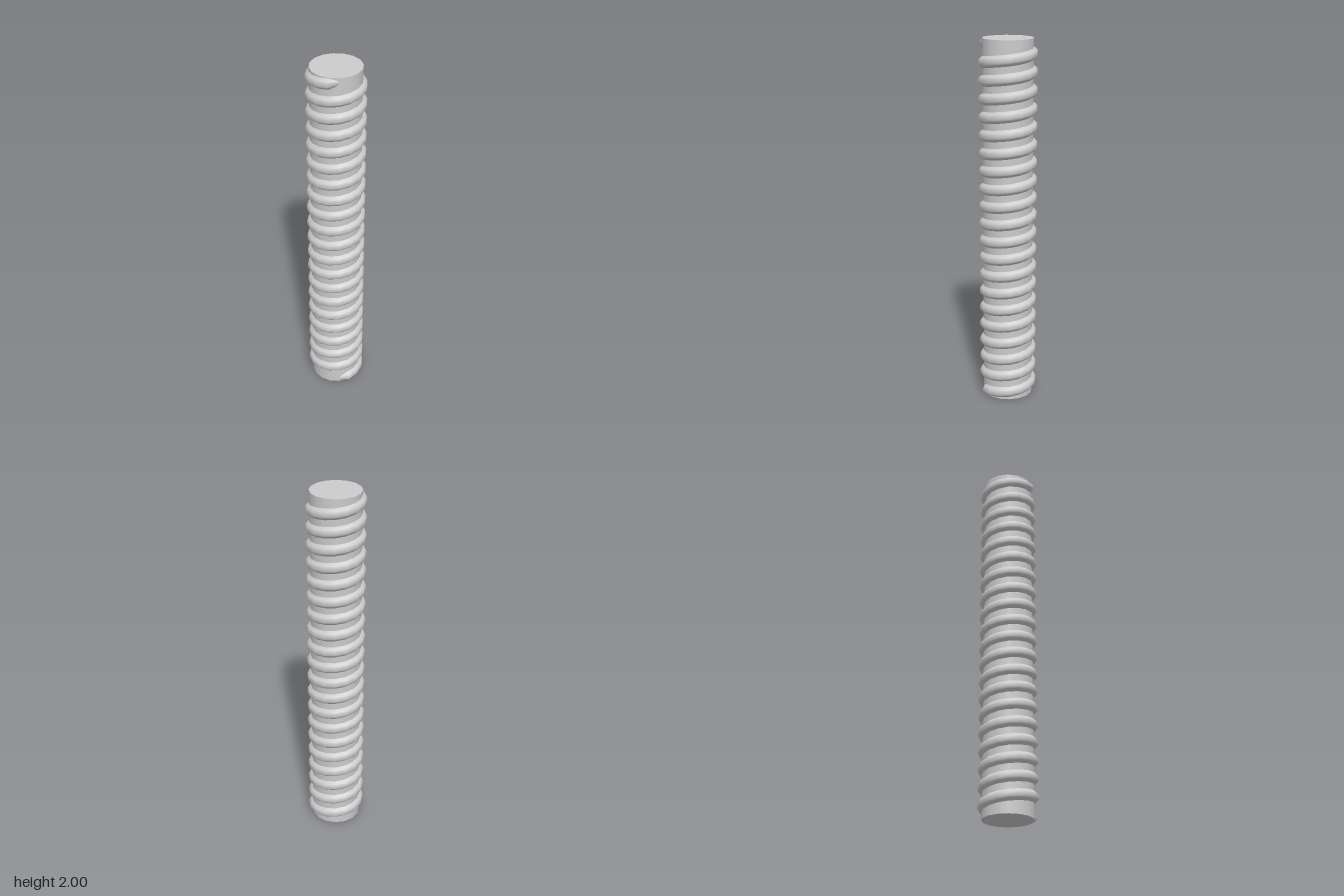
import * as THREE from 'three';

const SIDES = 16, CORE = 0.137, CREST = 0.158;
const TURNS = 20, PITCH = 0.0975, START = 0.022;

// Rounded ridge cross-section: [height fraction 0..1, offset along the rod]
const PROFILE = [[-0.15, -0.033], [0.1, -0.029], [0.7, -0.019], [1, -0.009],
  [1, 0.009], [0.7, 0.019], [0.1, 0.029], [-0.15, 0.033]];

// Sweep the ridge up a right-handed helix, sinking into the core at both ends
function threadGeometry() {
  const steps = TURNS * SIDES, n = PROFILE.length;
  const positions = [], index = [];
  for (let i = 0; i <= steps; i++) {
    const angle = (i / SIDES) * Math.PI * 2;
    const taper = i === 0 || i === steps ? 0 : 1;
    const y = START + (i / SIDES) * PITCH;
    for (const [h, dy] of PROFILE) {
      const r = CORE + (CREST - CORE) * h * taper - (taper ? 0 : 0.001);
      const py = THREE.MathUtils.clamp(y + dy * (taper ? 1 : 0.4), 0.002, 1.998);
      positions.push(r * Math.sin(angle), py, r * Math.cos(angle));
    }
  }
  for (let i = 0; i < steps; i++) {
    for (let j = 0; j < n - 1; j++) {
      const a = i * n + j, b = a + n;
      index.push(a, b, b + 1, a, b + 1, a + 1);
    }
  }
  const geometry = new THREE.BufferGeometry();
  geometry.setAttribute('position', new THREE.Float32BufferAttribute(positions, 3));
  geometry.setIndex(index);
  geometry.computeVertexNormals();
  return geometry;
}

export function createModel() {
  const group = new THREE.Group();
  group.name = 'threadedRod';
  const material = new THREE.MeshStandardMaterial({ color: 0xcccccc });

  // Solid shaft with flat ends
  const core = new THREE.Mesh(new THREE.CylinderGeometry(CORE, CORE, 2, SIDES), material);
  core.name = 'core';
  core.position.y = 1;

  // Helical ridge
  const threadMaterial = material.clone();
  threadMaterial.side = THREE.DoubleSide;
  const thread = new THREE.Mesh(threadGeometry(), threadMaterial);
  thread.name = 'thread';

  group.add(core, thread);
  return group;
}
